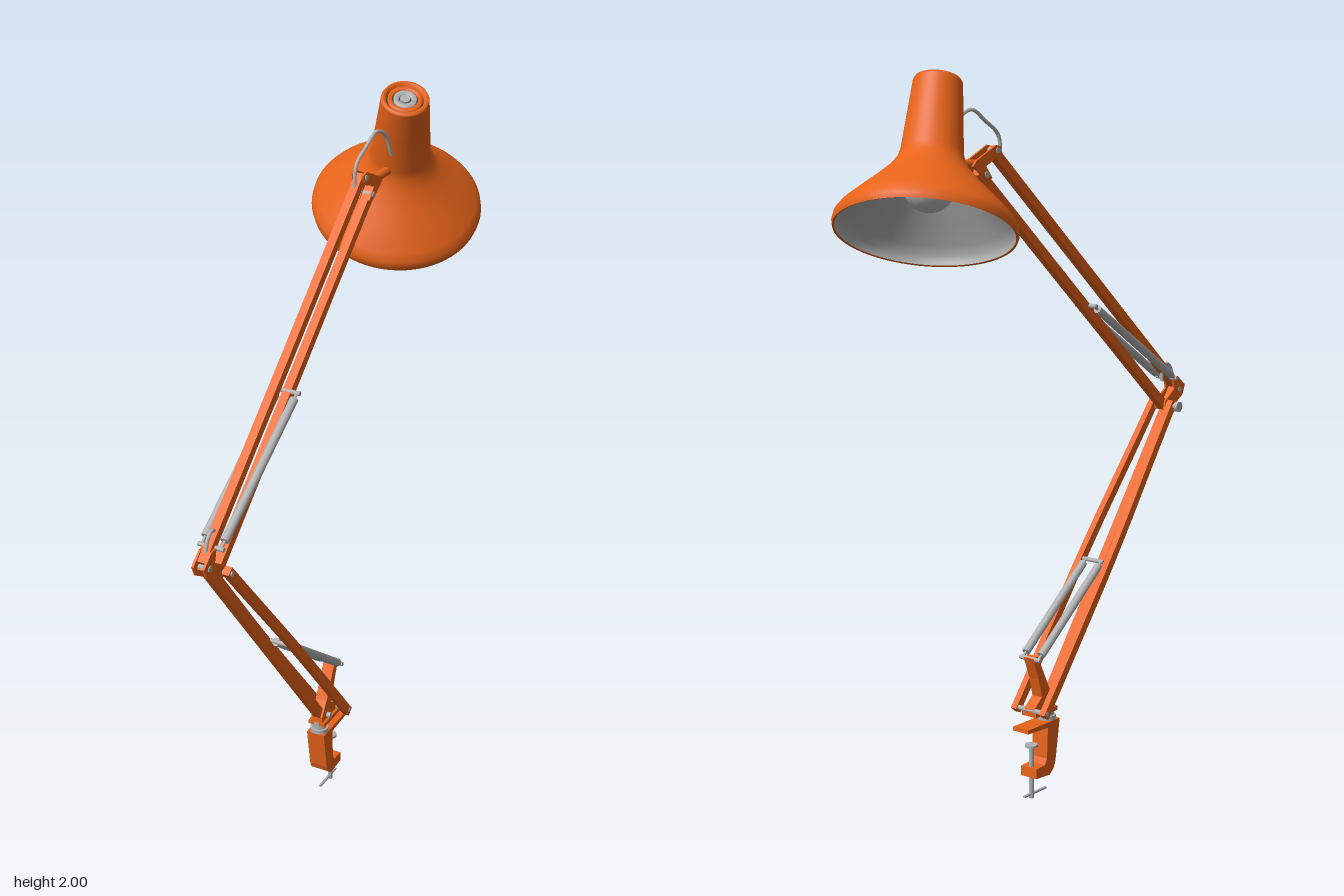
import * as THREE from 'three';

const CX = 0.038; // plane of the arms
const mat = (name, color) => {
  const m = new THREE.MeshStandardMaterial({ color });
  m.name = name;
  return m;
};
const V = (x, y, z) => new THREE.Vector3(x, y, z);

export function createModel() {
  const root = new THREE.Group();
  root.name = 'deskLamp';
  const orange = mat('orangePaint', 0xe8641a);
  const steel = mat('steel', 0xb0b0b0);
  const dark = mat('darkMetal', 0x3a3836);
  const lining = mat('shadeLining', 0xacacac);
  const glass = mat('bulbGlass', 0xbebebe);

  const add = (name, geo, material, parent = root) => {
    const m = new THREE.Mesh(geo, material);
    m.name = name;
    parent.add(m);
    return m;
  };
  // round rod between two points
  const rod = (name, a, b, r, material, sides = 14) => {
    const m = add(name, new THREE.CylinderGeometry(r, r, a.distanceTo(b), sides), material);
    m.position.copy(a).lerp(b, 0.5);
    m.quaternion.setFromUnitVectors(V(0, 1, 0), b.clone().sub(a).normalize());
    return m;
  };
  // square bar between two points, optionally bowed sideways by a rule
  const bar = (name, a, b, w, h, bow) => {
    const len = a.distanceTo(b);
    const geo = new THREE.BoxGeometry(w, h, len, 1, 1, bow ? 16 : 1);
    if (bow) {
      const p = geo.attributes.position;
      for (let i = 0; i < p.count; i++) p.setX(i, p.getX(i) + bow(p.getZ(i) / len + 0.5));
      geo.computeVertexNormals();
    }
    const m = add(name, geo, orange);
    m.position.copy(a).lerp(b, 0.5);
    m.lookAt(b);
    return m;
  };
  // flat orange plate with an outline given as [z, y], extruded across x
  const plate = (name, pts, x, w) => {
    const shape = new THREE.Shape(pts.map(([z, y]) => new THREE.Vector2(z, y)));
    const geo = new THREE.ExtrudeGeometry(shape, { depth: w, bevelEnabled: false });
    geo.translate(0, 0, -w / 2).rotateY(-Math.PI / 2);
    add(name, geo, orange).position.x = x;
  };
  const pin = (name, y, z, half, r) =>
    rod(name, V(CX - half, y, z), V(CX + half, y, z), r, steel);
  const wire = (name, pts, r) =>
    add(name, new THREE.TubeGeometry(new THREE.CatmullRomCurve3(pts), 32, r, 8), steel);

  // table clamp with screw and handle
  plate('clampBody', [[0.075, 0.215], [-0.065, 0.215], [-0.065, 0.204], [0.022, 0.2], [0.018, 0.11],
    [0.008, 0.094], [-0.03, 0.092], [-0.03, 0.064], [0.03, 0.06], [0.048, 0.075], [0.056, 0.095]], CX, 0.054);
  rod('clampScrew', V(CX, 0, -0.018), V(CX, 0.15, -0.018), 0.007, steel);
  rod('clampPad', V(CX, 0.15, -0.018), V(CX, 0.157, -0.018), 0.018, steel, 20);
  rod('clampHandle', V(CX, 0.012, -0.05), V(CX, 0.012, 0.045), 0.004, steel);
  rod('swivelPost', V(CX, 0.21, 0.05), V(CX, 0.25, 0.05), 0.02, steel, 20);
  rod('swivelCollar', V(CX, 0.215, 0.05), V(CX, 0.227, 0.05), 0.026, steel, 20);

  // base bracket: floor and one upright
  plate('bracketFloor', [[0.068, 0.252], [-0.028, 0.252], [-0.028, 0.24], [0.068, 0.24]], CX, 0.05);
  plate('bracketUpright', [[-0.03, 0.408], [-0.01, 0.412], [0.04, 0.31], [0.066, 0.27], [0.068, 0.24],
    [-0.028, 0.24], [-0.028, 0.262], [0.008, 0.29], [-0.006, 0.345]], CX, 0.034);
  pin('basePin', 0.257, -0.022, 0.061, 0.007);
  pin('baseBarPin', 0.262, 0.034, 0.028, 0.008);

  // lower arm: middle bar and two bowed outer bars
  bar('lowerMiddleBar', V(CX, 0.25, 0.038), V(CX, 1.075, 0.655), 0.023, 0.026);
  for (const s of [-1, 1]) {
    bar('lowerOuterBar', V(CX, 0.248, -0.026), V(CX, 1.04, 0.598), 0.019, 0.024,
      u => s * (0.05 - 0.019 * THREE.MathUtils.smoothstep(u, 0.4, 1.1)));
  }

  // elbow
  for (const s of [-1, 1]) {
    plate('elbowPlate', [[0.682, 1.08], [0.67, 1.052], [0.605, 1.012], [0.58, 1.02], [0.585, 1.045],
      [0.63, 1.075], [0.62, 1.11], [0.645, 1.11]], CX + s * 0.015, 0.006);
  }
  pin('elbowPin', 1.07, 0.655, 0.02, 0.008);
  pin('elbowBarPin', 1.03, 0.592, 0.045, 0.007);
  rod('elbowKnob', V(-0.024, 1.03, 0.592), V(-0.012, 1.03, 0.592), 0.015, steel, 12);

  // upper arm: two parallel bars
  bar('upperTopBar', V(CX, 1.08, 0.657), V(CX, 1.798, -0.178), 0.023, 0.025);
  bar('upperBottomBar', V(CX, 1.026, 0.597), V(CX, 1.745, -0.235), 0.023, 0.025);

  // paired springs with end pins
  const springs = [
    [[0.405, -0.022], [0.627, 0.263]],
    [[1.108, 0.616], [1.358, 0.225]],
  ];
  for (const [[y0, z0], [y1, z1]] of springs) {
    for (const s of [-1, 1]) {
      const x = CX + s * 0.027;
      const a = V(x, y0, z0), b = V(x, y1, z1);
      rod('springHook', a, b, 0.004, steel);
      rod('spring', a.clone().lerp(b, 0.05), a.clone().lerp(b, 0.96), 0.0115, steel);
    }
    pin('springPin', y0, z0, 0.036, 0.006);
    pin('springPin', y1, z1, 0.036, 0.006);
  }

  // cable loops at elbow and head
  wire('elbowCable', [V(CX, 1.095, 0.645), V(CX, 1.135, 0.632), V(CX, 1.15, 0.612),
    V(CX, 1.135, 0.592), V(CX, 1.1, 0.59)], 0.005);
  wire('headCable', [V(CX, 1.775, -0.14), V(CX, 1.835, -0.15), V(CX + 0.006, 1.872, -0.195),
    V(CX + 0.014, 1.9, -0.235), V(CX + 0.022, 1.885, -0.268), V(CX + 0.027, 1.82, -0.3)], 0.005);

  // head bracket and stem
  for (const s of [-1, 1]) {
    plate('headPlate', [[-0.158, 1.806], [-0.178, 1.81], [-0.255, 1.774], [-0.268, 1.76],
      [-0.21, 1.72], [-0.194, 1.728], [-0.218, 1.758], [-0.165, 1.785]], CX + s * 0.0145, 0.006);
  }
  pin('headPin', 1.796, -0.172, 0.02, 0.008);
  pin('headPin', 1.737, -0.216, 0.02, 0.008);
  rod('headStem', V(CX, 1.764, -0.24), V(0.044, 1.768, -0.35), 0.012, orange);

  // tilted shade, local y along its axis
  const head = new THREE.Group();
  head.name = 'lampHead';
  head.position.set(-0.002, 1.607, -0.477);
  head.quaternion.setFromUnitVectors(V(0, 1, 0), V(0.095, 0.365, 0.16).normalize());
  root.add(head);
  const lathe = pts => new THREE.LatheGeometry(pts.map(([r, y]) => new THREE.Vector2(r, y)), 64);
  const wall = [[0.228, 0], [0.231, 0.012], [0.228, 0.028], [0.214, 0.048], [0.174, 0.089], [0.135, 0.128],
    [0.104, 0.162], [0.086, 0.19], [0.079, 0.215], [0.071, 0.31], [0.063, 0.405]];
  add('shade', lathe(wall), orange, head);
  add('shadeLip', lathe([[0.223, 0.002], [0.228, 0]]), orange, head);
  add('shadeLining', lathe([[0.223, 0.002], ...wall.slice(1).map(([r, y]) => [r - 0.006, y])].reverse()), lining, head);
  add('capRim', lathe([[0.063, 0.405], [0.06, 0.411], [0.052, 0.411], [0.048, 0.4]]), orange, head);

  // vented cap: dark recess with raised rings around a button
  const disc = (name, r, y, h, material) =>
    add(name, new THREE.CylinderGeometry(r, r, h, 32), material, head).position.set(0, y, 0);
  const ring = (name, outer, inner, material) =>
    add(name, lathe([[outer, 0.4], [outer, 0.407], [inner, 0.407], [inner, 0.4]]), material, head);
  disc('capVent', 0.052, 0.396, 0.008, dark);
  ring('capOuterRing', 0.045, 0.034, orange);
  ring('capInnerRing', 0.03, 0.017, steel);
  disc('capButton', 0.013, 0.404, 0.008, steel);

  // bulb and socket
  add('bulb', new THREE.SphereGeometry(0.066, 32, 20), glass, head).position.set(0, 0.125, 0);
  disc('socket', 0.032, 0.25, 0.16, steel);

  return root;
}
